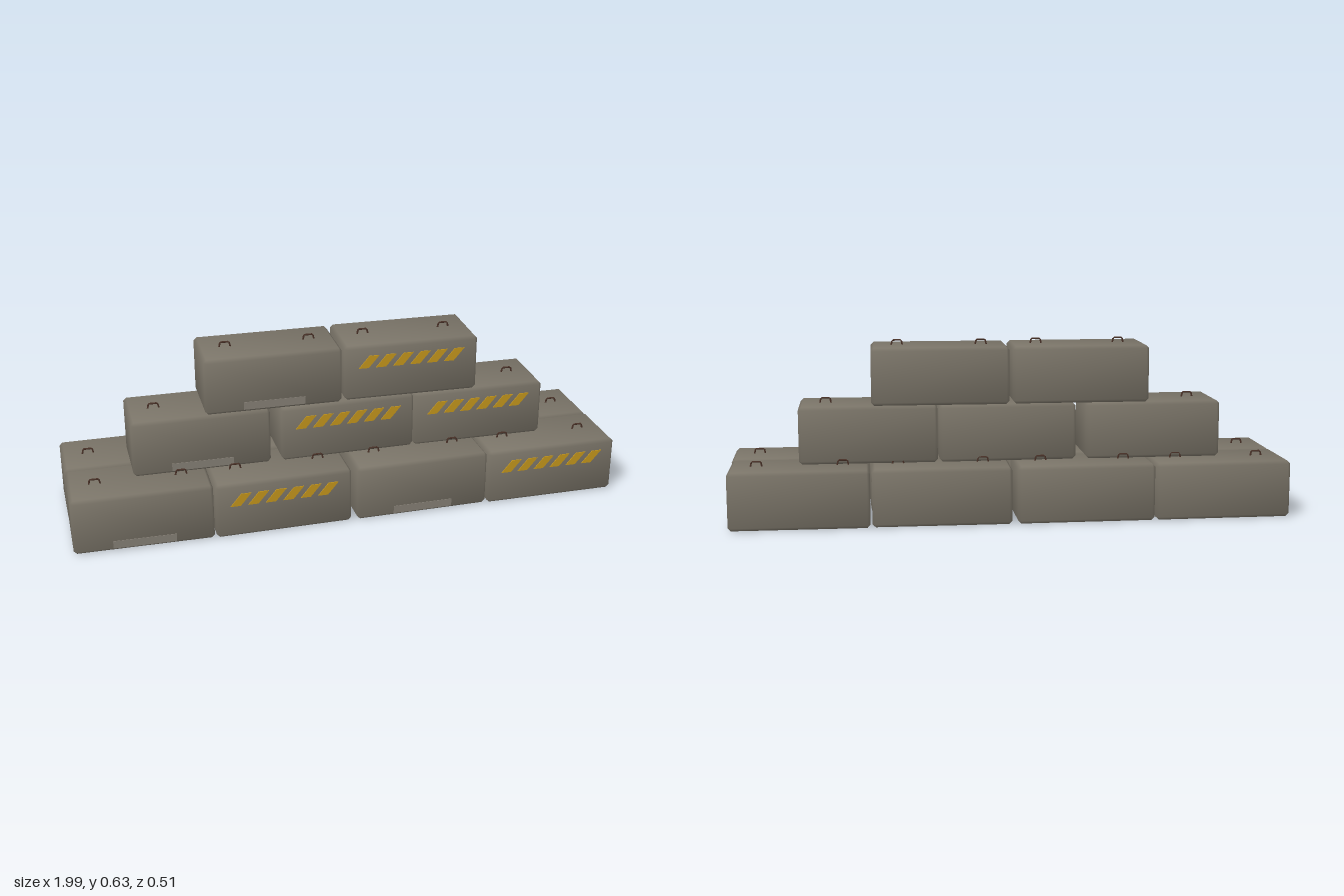
import * as THREE from 'three';
import { mergeGeometries, mergeVertices } from 'three/addons/utils/BufferGeometryUtils.js';
import { ConvexGeometry } from 'three/addons/geometries/ConvexGeometry.js';

const W = 0.49, H = 0.204, D = 0.247, BEVEL = 0.011;

// Chamfered box with softly blended normals
function blockGeometry() {
  const half = [W / 2, H / 2, D / 2];
  const points = [];
  for (const sx of [-1, 1]) for (const sy of [-1, 1]) for (const sz of [-1, 1]) {
    for (let axis = 0; axis < 3; axis++) {
      const c = [sx, sy, sz].map((s, i) => s * (half[i] - (i === axis ? 0 : BEVEL)));
      points.push(new THREE.Vector3(...c));
    }
  }
  let geo = new ConvexGeometry(points);
  geo.deleteAttribute('normal');
  geo = mergeVertices(geo, 1e-5);
  geo.computeVertexNormals();
  // tilt each corner normal towards its neighbouring faces
  const pos = geo.attributes.position, nor = geo.attributes.normal;
  for (let i = 0; i < pos.count; i++) {
    const p = [pos.getX(i), pos.getY(i), pos.getZ(i)];
    const n = new THREE.Vector3(...p.map((v, k) =>
      Math.sign(v) * (Math.abs(Math.abs(v) - half[k]) < 1e-4 ? 1 : 0.28))).normalize();
    nor.setXYZ(i, n.x, n.y, n.z);
  }
  return geo;
}

// Slanted warning bars, lying just proud of the front face
function stripeGeometry() {
  const bars = [];
  for (let i = 0; i < 6; i++) {
    const x = -0.195 + i * 0.063;
    const bar = new THREE.Shape([
      new THREE.Vector2(x, 0), new THREE.Vector2(x + 0.036, 0),
      new THREE.Vector2(x + 0.075, 0.046), new THREE.Vector2(x + 0.039, 0.046),
    ]);
    bars.push(new THREE.ExtrudeGeometry(bar, { depth: 0.004, bevelEnabled: false }));
  }
  return mergeGeometries(bars);
}

// Bent steel lifting loop
function loopGeometry() {
  const path = new THREE.CurvePath();
  const p = [[-0.021, -0.006], [-0.016, 0.017], [0.016, 0.017], [0.021, -0.006]]
    .map(([x, y]) => new THREE.Vector3(x, y, 0));
  for (let i = 0; i < 3; i++) path.add(new THREE.LineCurve3(p[i], p[i + 1]));
  return new THREE.TubeGeometry(path, 12, 0.0032, 6, false);
}

export function createModel() {
  const model = new THREE.Group();
  model.name = 'blockBarrier';
  const material = (name, color) => {
    const m = new THREE.MeshStandardMaterial({ color });
    m.name = name;
    return m;
  };
  const concrete = material('concrete', 0x7a7468);
  const wornConcrete = material('wornConcrete', 0x857f75);
  const yellow = material('warningYellow', 0xc4961c);
  const steel = material('rustySteel', 0x4a3228);

  const blockGeo = blockGeometry(), stripeGeo = stripeGeometry(), loopGeo = loopGeometry();
  const patchGeo = new THREE.BoxGeometry(0.22, 0.028, 0.004);

  const add = (parent, name, geo, mat, x, y, z) => {
    const mesh = new THREE.Mesh(geo, mat);
    mesh.name = name;
    mesh.position.set(x, y, z);
    parent.add(mesh);
  };

  // x, layer, z, yaw, front marking
  const blocks = [
    [-0.754, 0, 0.124, -0.008, 'patch'], [-0.26, 0, 0.127, 0.015, 'stripes'],
    [0.252, 0, 0.122, 0.015, 'patch'], [0.749, 0, 0.123, 0, 'stripes'],
    [-0.754, 0, -0.129, 0.004, ''], [-0.26, 0, -0.131, 0, ''],
    [0.25, 0, -0.129, -0.012, ''], [0.747, 0, -0.13, -0.012, ''],
    [-0.521, 1, -0.008, -0.004, 'patch'], [0.008, 1, -0.008, 0.01, 'stripes'],
    [0.503, 1, -0.008, -0.012, 'stripes'],
    [-0.258, 2, -0.01, -0.01, 'patch'], [0.245, 2, -0.01, -0.022, 'stripes'],
  ];
  for (const [x, layer, z, yaw, marking] of blocks) {
    const unit = new THREE.Group();
    unit.name = 'block';
    unit.position.set(x, H / 2 + 0.001 + layer * 0.205, z);
    unit.rotation.y = yaw;
    add(unit, 'blockBody', blockGeo, concrete, 0, 0, 0);
    for (const s of [-1, 1]) add(unit, 'liftingLoop', loopGeo, steel, s * 0.151, H / 2, 0);
    if (marking === 'stripes') add(unit, 'warningStripes', stripeGeo, yellow, 0, 0.018, D / 2 - 0.001);
    if (marking === 'patch') add(unit, 'wornPatch', patchGeo, wornConcrete, 0, -0.078, D / 2);
    model.add(unit);
  }
  return model;
}
